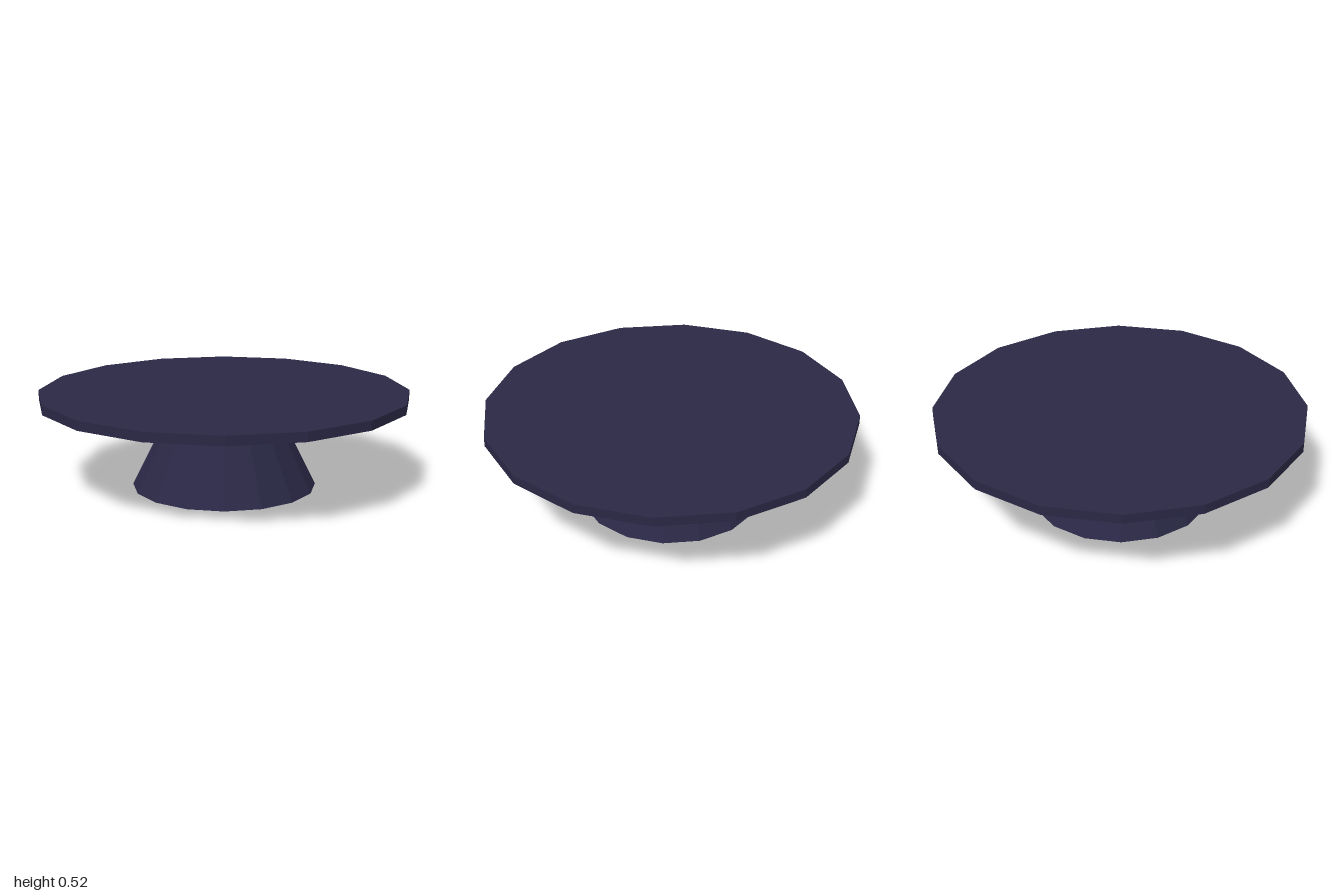
import * as THREE from 'three';

const SIDES = 16;

export function createModel() {
  const model = new THREE.Group();
  model.name = 'pedestalTable';
  const material = new THREE.MeshStandardMaterial({ color: 0x2a2845, flatShading: true });

  // Adds a faceted round part spanning two heights
  const addRound = (name, topRadius, bottomRadius, bottom, top) => {
    const geometry = new THREE.CylinderGeometry(topRadius, bottomRadius, top - bottom, SIDES);
    const mesh = new THREE.Mesh(geometry, material);
    mesh.name = name;
    mesh.position.y = (top + bottom) / 2;
    model.add(mesh);
  };

  // Tapered foot, running up into the top
  addRound('pedestal', 0.25, 0.5, 0, 0.5);
  // Thin round top
  addRound('tableTop', 1, 1, 0.475, 0.525);

  return model;
}
